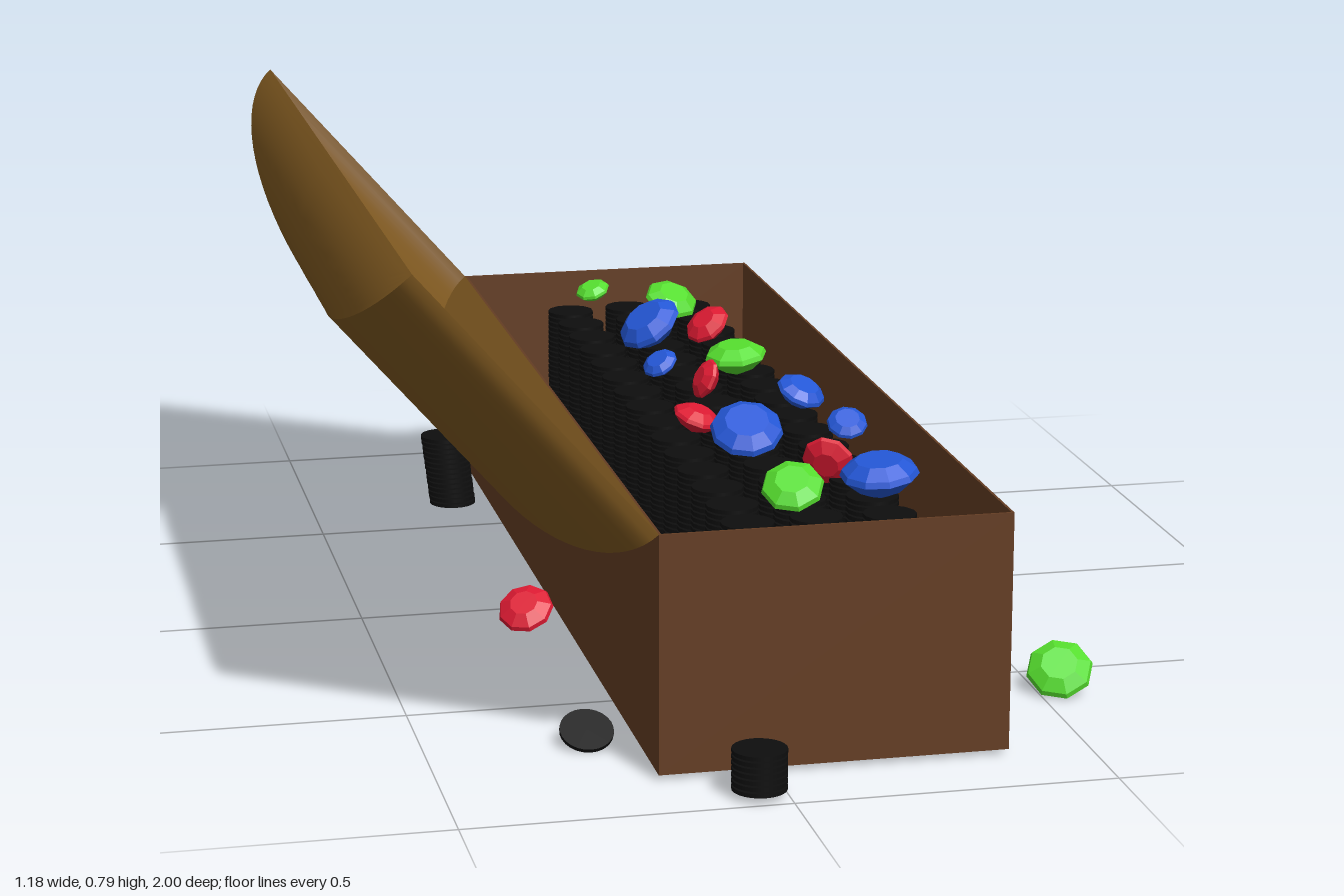
import * as THREE from 'three';
import { mergeGeometries, toCreasedNormals } from 'three/addons/utils/BufferGeometryUtils.js';

const mat = (color, flat = false) =>
  new THREE.MeshStandardMaterial({ color, flatShading: flat, side: THREE.DoubleSide });

const X0 = -0.175, X1 = 0.37, Y0 = 0.015, Y1 = 0.39, Z0 = -0.86, Z1 = 0.865;
const W = X1 - X0, H = Y1 - Y0, D = Z1 - Z0, CX = (X0 + X1) / 2, CZ = (Z0 + Z1) / 2;

function add(parent, name, geometry, material) {
  const mesh = new THREE.Mesh(geometry, material);
  mesh.name = name;
  parent.add(mesh);
  return mesh;
}

// Open-topped chest with thin walls
function makeChest() {
  const chest = new THREE.Group();
  chest.name = 'chest';
  const wood = mat(0x643d23), t = 0.004;
  const panel = (name, w, h, d, x, y, z) =>
    add(chest, name, new THREE.BoxGeometry(w, h, d), wood).position.set(x, y, z);
  panel('chestFloor', W, t, D, CX, Y0 + t / 2, CZ);
  for (const s of [-1, 1]) {
    panel('chestLongWall', t, H, D, CX + s * (W - t) / 2, (Y0 + Y1) / 2, CZ);
    panel('chestEndWall', W, H, t, CX, (Y0 + Y1) / 2, CZ + s * (D - t) / 2);
  }
  return chest;
}

// Hollow lid: arched along its length, rounded at the free edge, closed flat at the hinge.
// Built with u from hinge to free edge (x) and height (y), then swung open.
function makeLid() {
  const R = 0.174, nz = 40, nu = 12;
  let geo = new THREE.PlaneGeometry(1, 1, nz, nu);
  const p = geo.attributes.position;
  for (let j = 0; j <= nu; j++) {
    for (let i = 0; i <= nz; i++) {
      const phi = Math.PI * i / nz;
      const theta = Math.min(phi, Math.PI - phi);
      const z = Math.cos(phi) * D / 2;
      let u = 0, v = 0;
      if (j === 1) v = R * Math.sin(phi);
      if (j > 1) {
        const a = theta * (nu - j) / (nu - 2);
        u = W - R + R * Math.cos(a);
        v = R * Math.sin(a);
      }
      p.setXYZ(j * (nz + 1) + i, u, v, z);
    }
  }
  geo = toCreasedNormals(geo, 0.5);
  const lid = new THREE.Mesh(geo, mat(0x7e5820));
  lid.name = 'lid';
  lid.position.set(X0, Y1, CZ);
  lid.rotation.z = Math.atan2(0.41, -0.36);
  return lid;
}

// Stack of thin coins with slim gaps, optionally leaning
const COIN_R = 0.042, PITCH = 0.0095;
function coinStack(x, y, z, count, leanX = 0, leanZ = 0, sides = 14) {
  const coins = [];
  for (let i = 0; i < count; i++) {
    const k = i / Math.max(1, count - 1);
    const c = new THREE.CylinderGeometry(COIN_R, COIN_R, 0.0065, sides);
    c.translate(x + leanX * k, y + 0.00325 + i * PITCH, z + leanZ * k);
    coins.push(c);
  }
  return mergeGeometries(coins);
}

// Cut gem: table, crown, girdle and pointed base
function gemGeometry(sides, table) {
  const pts = [[0, -0.6], [0.6, -0.32], [1, 0.05], [0.94, 0.2], [table, 0.45], [0, 0.45]]
    .map(([r, y]) => new THREE.Vector2(r, y));
  return new THREE.LatheGeometry(pts, sides);
}

// Each gem: x, y, z, radius, tilt about x, tilt about z
const GEMS = {
  green: { color: 0x55dd2e, sides: 8, table: 0.55, list: [
    [0.05, 0.375, -0.75, 0.032, 0.3, 0.3], [0.18, 0.37, -0.66, 0.05, 0.5, -0.2],
    [0.2, 0.37, -0.22, 0.055, 0.1, 0.1], [-0.1, 0.06, 0.44, 0.05, 0.3, 0.6],
    [0.095, 0.37, 0.6, 0.05, 0.6, 0.2], [0.535, 0.042, 0.605, 0.054, 0.7, 0.25]] },
  red: { color: 0xdc1a32, sides: 9, table: 0.5, list: [
    [0.21, 0.365, -0.48, 0.043, 0.4, 0.6], [0.115, 0.37, -0.08, 0.036, 0.3, 1.1],
    [-0.09, 0.06, 0.15, 0.045, 0.3, 0.1], [0.045, 0.365, 0.15, 0.042, 0.2, -0.3],
    [0.2, 0.36, 0.42, 0.043, 1.9, 0.5], [-0.245, 0.052, 0.15, 0.047, 0.6, 0.3]] },
  blue: { color: 0x2457d6, sides: 10, table: 0.6, list: [
    [-0.1, 0.05, -0.42, 0.042, 0.5, 0.2], [0.09, 0.385, -0.42, 0.06, 0.3, 0.6],
    [0.06, 0.37, -0.2, 0.032, 0.4, 0.5], [0.245, 0.375, 0.06, 0.043, 0.4, -0.3],
    [0.28, 0.365, 0.235, 0.034, 0.6, 0.1], [0.09, 0.385, 0.315, 0.06, 0.55, 0.1],
    [0.24, 0.375, 0.58, 0.063, 0.1, 0.1], [0.435, 0.052, 0.31, 0.042, 1.2, 0.3]] },
};

export function createModel() {
  const model = new THREE.Group();
  model.name = 'treasureChest';
  model.add(makeChest(), makeLid());

  // Rows of coin stacks filling the chest
  const black = mat(0x0e0e0e);
  const stacks = new THREE.Group();
  stacks.name = 'coinStacks';
  model.add(stacks);
  [0.013, 0.125, 0.24].forEach((x, c) => {
    for (let r = 0; r < 16; r++) {
      const z = -0.78 + r * 0.1015 - (c === 1 ? 0.01 : 0);
      add(stacks, 'coinStack', coinStack(x, 0.022, z, 33), black);
    }
  });

  // Small stacks outside the chest
  add(model, 'frontCoinStack', coinStack(-0.043, 0.018, 0.957, 7, 0, 0, 24), black);
  add(model, 'backCoinStack', coinStack(0.24, 0.018, -0.938, 14, 0, -0.02, 24), black);
  add(model, 'sideCoinStack', coinStack(-0.243, 0.018, -0.62, 14, -0.015, 0, 24), black);

  // Loose coins
  const coin = new THREE.CylinderGeometry(COIN_R, COIN_R, 0.0065, 24);
  const loose = add(model, 'fallenCoin', coin, black);
  loose.position.set(-0.25, 0.03, 0.69);
  loose.rotation.x = 0.5;
  const slipped = add(model, 'slippedCoin', coin, black);
  slipped.position.set(0.1, 0.33, 0.77);
  slipped.rotation.x = 0.3;

  // Gems scattered over the coins, the chest floor and the ground
  for (const [name, g] of Object.entries(GEMS)) {
    const geo = gemGeometry(g.sides, g.table), m = mat(g.color, true);
    for (const [x, y, z, r, rx, rz] of g.list) {
      const gem = add(model, name + 'Gem', geo, m);
      gem.position.set(x, y, z);
      gem.scale.setScalar(r);
      gem.rotation.set(rx, 0, rz);
    }
  }
  return model;
}
